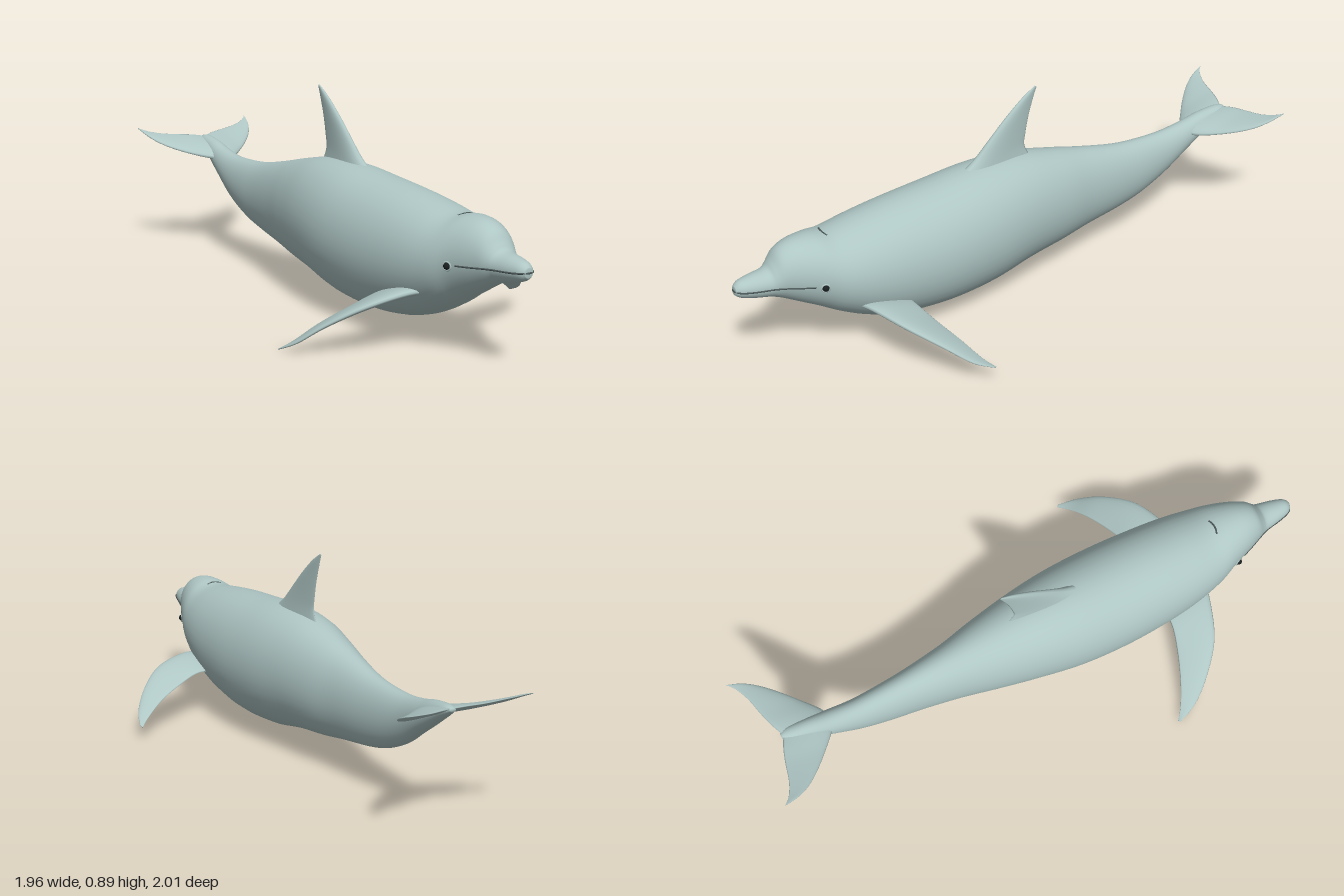
import * as THREE from 'three';

// Uniform Catmull-Rom through rows of numbers
function smoothRows(rows, steps) {
  const out = [];
  const last = rows.length - 1;
  for (let i = 0; i < last; i++) {
    const [a, b, c, d] = [rows[Math.max(i - 1, 0)], rows[i], rows[i + 1], rows[Math.min(i + 2, last)]];
    for (let k = 0; k < steps; k++) {
      const t = k / steps;
      out.push(b.map((v, j) => v + 0.5 * t * (c[j] - a[j]
        + t * (2 * a[j] - 5 * v + 4 * c[j] - d[j] + t * (3 * (v - c[j]) + d[j] - a[j])))));
    }
  }
  out.push(rows[last]);
  return out;
}

// Closed skin over rings of points, capped at both ends, always facing outward
function loft(rings) {
  const n = rings[0].length, m = rings.length;
  const pts = rings.flat();
  const index = [];
  for (let i = 0; i < m - 1; i++) {
    for (let j = 0; j < n; j++) {
      const a = i * n + j, b = i * n + (j + 1) % n;
      index.push(a, b, a + n, b, b + n, a + n);
    }
  }
  for (const i of [0, m - 1]) {
    const centre = new THREE.Vector3();
    rings[i].forEach((p) => centre.addScaledVector(p, 1 / n));
    const c = pts.push(centre) - 1;
    for (let j = 0; j < n; j++) {
      const a = i * n + j, b = i * n + (j + 1) % n;
      index.push(c, ...(i === 0 ? [b, a] : [a, b]));
    }
  }
  let volume = 0;
  for (let i = 0; i < index.length; i += 3) {
    volume += pts[index[i]].dot(pts[index[i + 1]].clone().cross(pts[index[i + 2]]));
  }
  if (volume < 0) index.reverse();
  const g = new THREE.BufferGeometry().setFromPoints(pts);
  g.setIndex(index);
  g.computeVertexNormals();
  return g;
}

// Fin from rows [leading xyz, trailing xyz, half thickness]
function finGeometry(rows, normal) {
  const sides = 20;
  const rings = smoothRows(rows, 5).map((r) => {
    const lead = new THREE.Vector3(r[0], r[1], r[2]);
    const trail = new THREE.Vector3(r[3], r[4], r[5]);
    return Array.from({ length: sides }, (_, j) => {
      const a = (j / sides) * Math.PI * 2;
      return trail.clone().lerp(lead, 0.5 + 0.5 * Math.cos(a))
        .addScaledVector(normal, r[6] * Math.sin(a) * (0.75 + 0.35 * Math.cos(a)));
    });
  });
  return loft(rings);
}

export function createModel() {
  const model = new THREE.Group();
  model.name = 'dolphin';
  const skin = new THREE.MeshStandardMaterial({ color: 0xaec6c4 });
  const dark = new THREE.MeshStandardMaterial({ color: 0x1a1e1e });
  const crease = new THREE.MeshStandardMaterial({ color: 0x4c5858 });
  const add = (name, geometry, material = skin) => {
    const mesh = new THREE.Mesh(geometry, material);
    mesh.name = name;
    model.add(mesh);
    return mesh;
  };

  // Body, tail to beak: [z, top, bottom, half width, centre x]
  const body = smoothRows([
    [-1.01, 0.512, 0.498, 0.012, 0.014],
    [-0.97, 0.518, 0.468, 0.03, 0.013],
    [-0.88, 0.508, 0.405, 0.043, 0.008],
    [-0.79, 0.487, 0.345, 0.052, 0.004],
    [-0.68, 0.472, 0.27, 0.061, 0],
    [-0.55, 0.474, 0.212, 0.073, 0],
    [-0.42, 0.488, 0.18, 0.086, 0],
    [-0.25, 0.525, 0.153, 0.112, -0.004],
    [-0.1, 0.563, 0.128, 0.146, -0.006],
    [0.08, 0.6, 0.105, 0.182, -0.01],
    [0.28, 0.61, 0.068, 0.211, -0.01],
    [0.5, 0.595, 0.058, 0.22, -0.008],
    [0.7, 0.58, 0.08, 0.212, -0.008],
    [0.85, 0.562, 0.125, 0.197, -0.008],
    [0.97, 0.546, 0.185, 0.172, -0.008],
    [1.05, 0.556, 0.235, 0.143, -0.008],
    [1.13, 0.552, 0.28, 0.113, -0.012],
    [1.19, 0.528, 0.314, 0.087, -0.015],
    [1.225, 0.485, 0.332, 0.07, -0.015],
    [1.25, 0.46, 0.342, 0.062, -0.016],
    [1.31, 0.452, 0.356, 0.05, -0.018],
    [1.36, 0.442, 0.372, 0.035, -0.02],
    [1.382, 0.425, 0.388, 0.018, -0.02],
  ], 5);
  const sides = 40;
  add('body', loft(body.map(([z, top, bottom, w, cx]) =>
    Array.from({ length: sides }, (_, j) => {
      const a = (j / sides) * Math.PI * 2;
      return new THREE.Vector3(cx + w * Math.cos(a),
        (top + bottom) / 2 + (top - bottom) / 2 * Math.sin(a), z);
    }))));

  // Point on the body's flank at a given z and height
  const flank = (z, y, side) => {
    const [rz, top, bottom, w, cx] = body.reduce((p, r) =>
      (Math.abs(r[0] - z) < Math.abs(p[0] - z) ? r : p));
    const k = (2 * y - top - bottom) / (top - bottom);
    return new THREE.Vector3(cx + side * w * Math.sqrt(Math.max(0, 1 - k * k)), y, rz);
  };

  // Mouth line running round the beak
  const mouthZ = [1.1, 1.16, 1.2, 1.25, 1.3, 1.345, 1.372];
  const lip = (side) => mouthZ.map((z, i) => flank(z, 0.386 + i * 0.0035, side));
  const mouthPath = new THREE.CatmullRomCurve3(
    [...lip(-1), new THREE.Vector3(-0.02, 0.407, 1.383), ...lip(1).reverse()]);
  add('mouthLine', new THREE.TubeGeometry(mouthPath, 70, 0.0035, 6), crease);

  // Eyes with low rims
  for (const side of [-1, 1]) {
    const name = side > 0 ? 'left' : 'right';
    const p = flank(1.06, 0.38, side);
    const eye = add(name + 'Eye', new THREE.SphereGeometry(0.014, 16, 12), dark);
    eye.position.copy(p);
    const rim = add(name + 'EyeRim', new THREE.TorusGeometry(0.016, 0.004, 8, 24));
    rim.position.copy(p);
    rim.rotation.y = side * 1.2;
  }

  // Blowhole crease across the top of the head
  add('blowhole', new THREE.TubeGeometry(new THREE.QuadraticBezierCurve3(
    new THREE.Vector3(-0.042, 0.541, 0.995), new THREE.Vector3(-0.008, 0.554, 1.01),
    new THREE.Vector3(0.026, 0.541, 0.995)), 12, 0.004, 6), crease);

  // Dorsal fin
  add('dorsalFin', finGeometry([
    [0, 0.57, 0.4, 0, 0.56, 0.01, 0.042],
    [0, 0.63, 0.305, 0, 0.63, 0.048, 0.03],
    [0, 0.7, 0.23, 0, 0.69, 0.043, 0.022],
    [0, 0.78, 0.145, 0, 0.77, 0.026, 0.016],
    [0, 0.85, 0.06, 0, 0.84, 0.004, 0.01],
    [0, 0.89, -0.004, 0, 0.884, -0.012, 0.003],
  ], new THREE.Vector3(1, 0, 0)));

  for (const side of [-1, 1]) {
    const name = side > 0 ? 'left' : 'right';

    // Flipper, drooping and swept back, with a slight roll of the whole body
    const roll = (x) => side * 0.03 * (x - 0.1) / 0.47;
    add(name + 'Flipper', finGeometry([
      [0.1, 0.245, 0.935, 0.1, 0.21, 0.71, 0.026],
      [0.2, 0.25, 0.91, 0.21, 0.212, 0.715, 0.024],
      [0.355, 0.215, 0.85, 0.315, 0.175, 0.69, 0.019],
      [0.47, 0.147, 0.755, 0.43, 0.122, 0.648, 0.013],
      [0.54, 0.075, 0.665, 0.515, 0.065, 0.607, 0.008],
      [0.57, 0.035, 0.58, 0.562, 0.032, 0.572, 0.003],
    ].map(([lx, ly, lz, tx, ty, tz, t]) =>
      [side * lx, ly + roll(lx), lz, side * tx, ty + roll(tx), tz, t]),
    new THREE.Vector3(side * 0.4, 0.88, -0.2).normalize()));

    // Tail fluke
    add(name + 'Fluke', finGeometry([
      [0, 0.44, -0.79, 0, 0.508, -1.0, 0.026],
      [0.055, 0.442, -0.815, 0.055, 0.517, -1.025, 0.021],
      [0.12, 0.455, -0.872, 0.12, 0.522, -1.045, 0.015],
      [0.19, 0.478, -0.94, 0.19, 0.53, -1.062, 0.011],
      [0.24, 0.503, -1.0, 0.24, 0.54, -1.083, 0.008],
      [0.27, 0.53, -1.057, 0.27, 0.55, -1.103, 0.005],
      [0.284, 0.553, -1.113, 0.284, 0.556, -1.12, 0.002],
    ].map(([lx, ly, lz, tx, ty, tz, t]) =>
      [side * lx + 0.014, ly, lz, side * tx + 0.014, ty, tz, t]),
    new THREE.Vector3(0, 0.94, 0.34)));
  }

  // The animal swims along the diagonal
  model.rotation.y = Math.PI / 4;
  return model;
}
